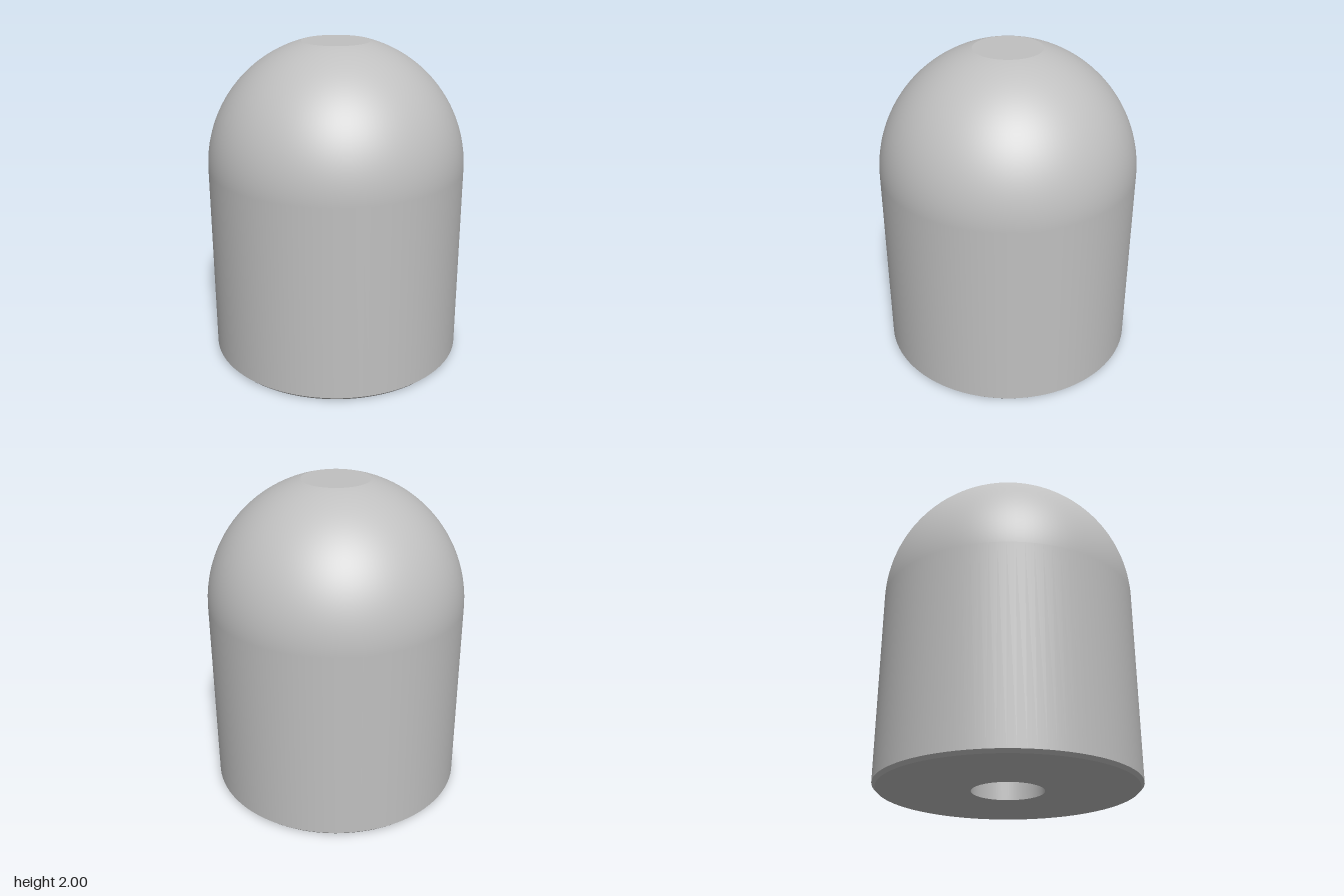
import * as THREE from 'three';

export function createModel() {
  const model = new THREE.Group();
  model.name = 'domedPlug';
  const grey = new THREE.MeshStandardMaterial({ color: 0xc0c0c0 });
  grey.name = 'plainGrey';

  const SIDES = 96;
  const R = 0.8;          // body radius
  const HOLE = 0.22;      // bore radius
  const DEPTH = 1.0;      // bore depth
  const FLAT = 0.21;      // radius of the flat on top
  const CHAMFER = 0.02;
  const HEIGHT = 2;
  const domeY = HEIGHT - Math.sqrt(R * R - FLAT * FLAT); // centre of the dome

  const add = (name, geometry) => {
    const mesh = new THREE.Mesh(geometry, grey);
    mesh.name = name;
    model.add(mesh);
    return mesh;
  };
  // One band of revolution between two [radius, y] points, so its edges stay sharp
  const band = (name, ...points) =>
    add(name, new THREE.LatheGeometry(points.map(([r, y]) => new THREE.Vector2(r, y)), SIDES));

  // Outside, from the base up
  band('underside', [HOLE, 0], [R - CHAMFER, 0]);
  band('baseChamfer', [R - CHAMFER, 0], [R, CHAMFER]);
  band('bodyWall', [R, CHAMFER], [R, domeY]);
  const start = Math.asin(FLAT / R);
  add('dome', new THREE.SphereGeometry(R, SIDES, 32, 0, Math.PI * 2, start, Math.PI / 2 - start))
    .position.y = domeY;
  band('topFlat', [FLAT, HEIGHT], [0, HEIGHT]);

  // Blind bore in the base
  band('boreWall', [HOLE, DEPTH], [HOLE, 0]);
  band('boreEnd', [0, DEPTH], [HOLE, DEPTH]);

  return model;
}
